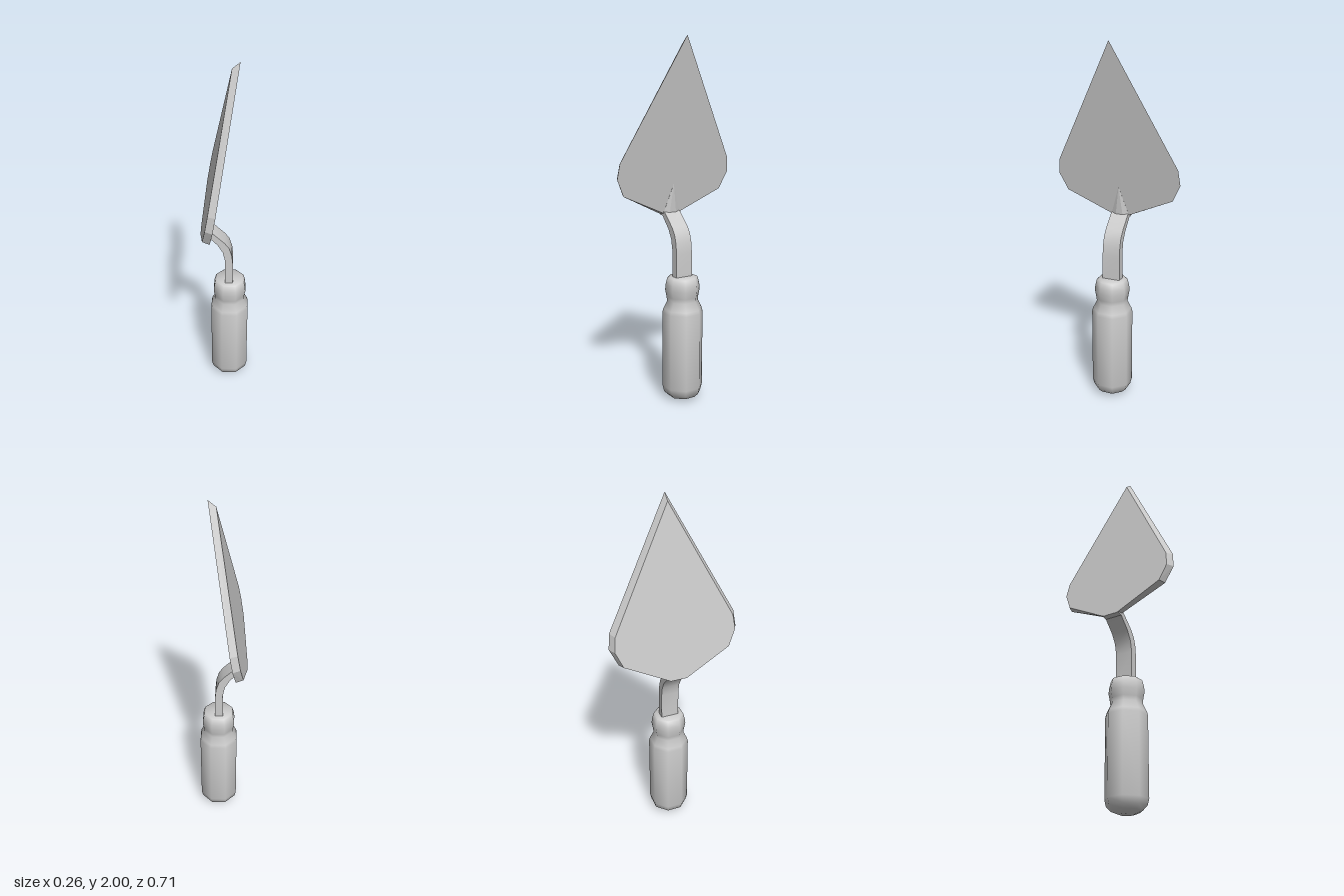
import * as THREE from 'three';
import { toCreasedNormals } from 'three/addons/utils/BufferGeometryUtils.js';
import { ConvexGeometry } from 'three/addons/geometries/ConvexGeometry.js';

const material = new THREE.MeshStandardMaterial({ color: 0xcccccc });

// Convex solid from [x, y, z] points, mirrored across z = 0
function mirroredSolid(points) {
  const all = [];
  for (const [x, y, z] of points) {
    all.push(new THREE.Vector3(x, y, z));
    if (z > 0) all.push(new THREE.Vector3(x, y, -z));
  }
  return new ConvexGeometry(all);
}

export function createModel() {
  const model = new THREE.Group();
  const add = (name, geometry) => {
    const mesh = new THREE.Mesh(geometry, material);
    mesh.name = name;
    model.add(mesh);
    return mesh;
  };

  // Eight-sided handle; profile gives [distance to flat, height]
  const toCorner = 1 / Math.cos(Math.PI / 8);
  const profile = [
    [0, 0.005], [0.035, 0.005], [0.075, 0.022], [0.097, 0.045], [0.105, 0.08],
    [0.105, 0.51], [0.1, 0.53], [0.08, 0.575], [0.083, 0.6], [0.09, 0.64],
    [0.087, 0.67], [0.079, 0.705], [0.073, 0.71], [0, 0.71],
  ].map(([r, y]) => new THREE.Vector2(r * toCorner, y));
  const handle = new THREE.LatheGeometry(profile, 8, Math.PI / 8);
  add('handle', toCreasedNormals(handle, 0.95)).position.x = 0.025;

  // Cranked flat shank, drawn from the side and extruded across z
  const side = [
    [0, 0.69], [0.043, 0.69], [0.043, 0.84], [0.037, 0.9], [0.022, 0.95],
    [-0.003, 0.985], [-0.075, 1.055], [-0.105, 1.065], [-0.13, 1.04],
    [-0.1, 1.035], [-0.04, 0.97], [-0.012, 0.92], [0, 0.86],
  ].map(([x, y]) => new THREE.Vector2(x, y));
  const shank = new THREE.ExtrudeGeometry(new THREE.Shape(side), { depth: 0.1, bevelEnabled: false });
  shank.translate(0, 0, -0.05);
  add('shank', toCreasedNormals(shank, 0.5));

  // Leaning blade: wide face at +x, slightly smaller face at -x
  const wideFace = [[2, 0], [1.345, 0.345], [1.26, 0.355], [1.165, 0.31], [1.05, 0.05]]
    .map(([y, z]) => [-0.07 + (y - 1.17) * 0.17, y, z]);
  const smallFace = [[1.967, 0], [1.34, 0.325], [1.26, 0.335], [1.17, 0.295], [1.04, 0.045]]
    .map(([y, z]) => [-0.11 + (y - 1.17) * 0.177, y, z]);
  add('blade', mirroredSolid([...wideFace, ...smallFace]));

  // Tapered rib where the shank meets the blade
  add('rib', mirroredSolid([
    [-0.061, 1.215, 0], [-0.072, 1.055, 0.02], [-0.088, 1.055, 0.05],
    [-0.12, 1.045, 0.045], [-0.08, 1.2, 0],
  ]));

  return model;
}
